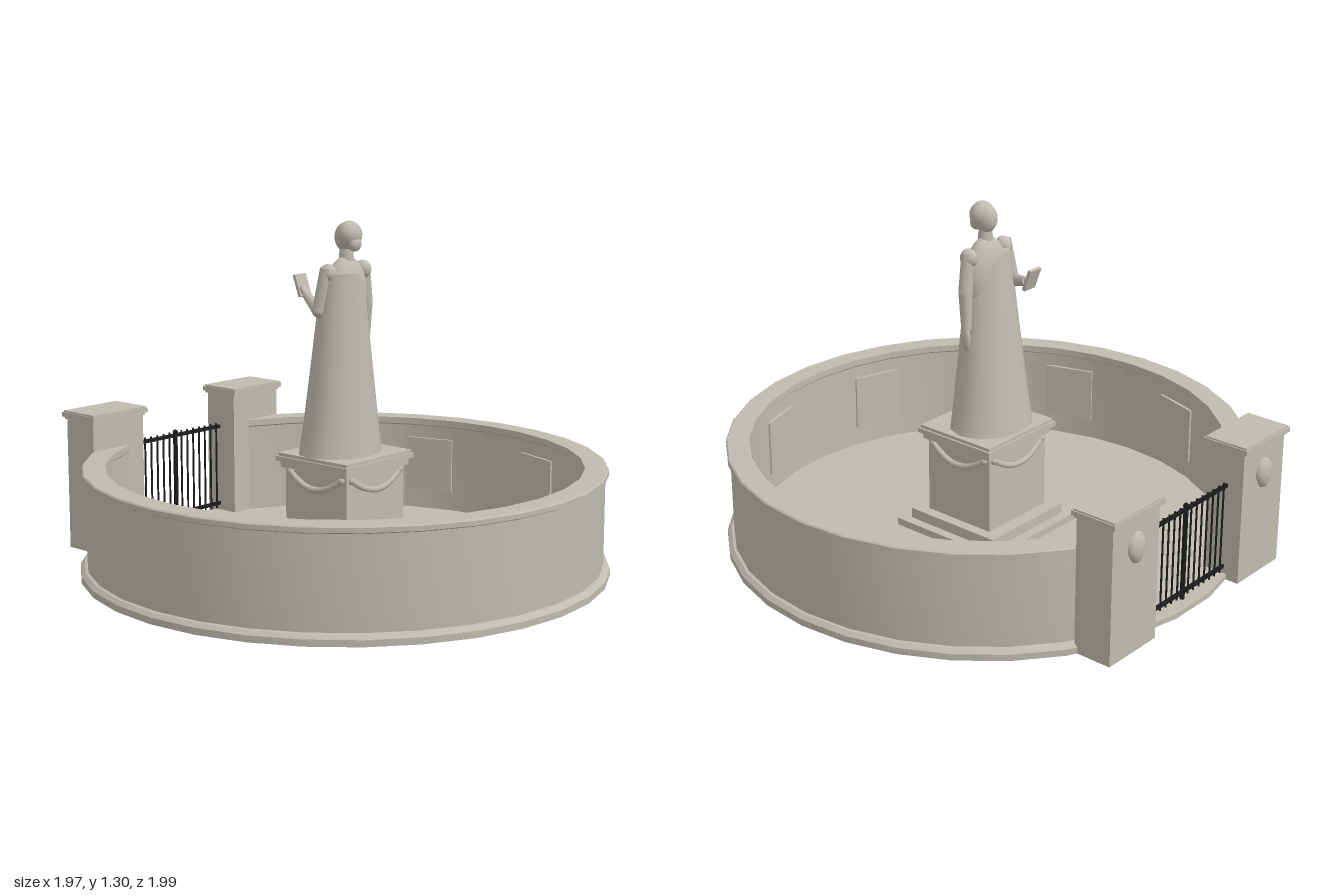
import * as THREE from 'three';
import { toCreasedNormals } from 'three/addons/utils/BufferGeometryUtils.js';

const stone = new THREE.MeshStandardMaterial({ color: 0xbfbbb0 });
stone.name = 'stone';
const iron = new THREE.MeshStandardMaterial({ color: 0x1c1c1c });
iron.name = 'blackIron';

const rad = THREE.MathUtils.degToRad;
const V = (x, y, z) => new THREE.Vector3(x, y, z);

function add(parent, name, geometry, material = stone, x = 0, y = 0, z = 0) {
  const mesh = new THREE.Mesh(geometry, material);
  mesh.name = name;
  mesh.position.set(x, y, z);
  parent.add(mesh);
  return mesh;
}

// Box given by its bottom and top heights
function slab(parent, name, w, d, y0, y1, x = 0, z = 0, material = stone) {
  return add(parent, name, new THREE.BoxGeometry(w, y1 - y0, d), material, x, (y0 + y1) / 2, z);
}

// Tapered limb between two points
function limb(parent, name, a, b, ra, rb, sides = 8) {
  const dir = b.clone().sub(a);
  const mid = a.clone().add(b).multiplyScalar(0.5);
  const mesh = add(parent, name, new THREE.CylinderGeometry(rb, ra, dir.length(), sides), stone, mid.x, mid.y, mid.z);
  mesh.quaternion.setFromUnitVectors(V(0, 1, 0), dir.normalize());
  return mesh;
}

function ellipsoid(parent, name, rx, ry, rz, x, y, z) {
  const g = new THREE.SphereGeometry(1, 14, 10).scale(rx, ry, rz);
  return add(parent, name, g, stone, x, y, z);
}

// Round wall, open at the back for the gate
function buildWall(root) {
  const wall = new THREE.Group();
  wall.name = 'wall';
  root.add(wall);
  const profile = [
    [0.875, 0], [0.985, 0], [0.985, 0.024], [0.97, 0.038], [0.96, 0.04], [0.96, 0.372],
    [0.973, 0.378], [0.973, 0.395], [0.968, 0.4], [0.885, 0.4], [0.885, 0.375], [0.89, 0.37], [0.89, 0],
  ].map(([r, y]) => new THREE.Vector2(r, y));
  const ring = new THREE.LatheGeometry(profile, 28, rad(-158), rad(316));
  add(wall, 'roundWall', toCreasedNormals(ring, rad(30)));
  const floor = add(wall, 'floor', new THREE.CylinderGeometry(0.965, 0.965, 0.02, 30), stone, 0, 0.012, 0);
  floor.rotation.y = rad(6);

  // Shallow panels on the inner face
  for (const side of [-1, 1]) {
    for (const angle of [18, 72, 108]) {
      const a = rad(angle) * side;
      const panel = slab(wall, 'wallPanel', 0.2, 0.012, 0.1, 0.32, Math.sin(a) * 0.88, Math.cos(a) * 0.88);
      panel.rotation.y = a;
    }
  }
}

// Gate pillar with cap and pointed medallion
function buildPillar(root, side) {
  const pillar = new THREE.Group();
  pillar.name = 'gatePillar';
  pillar.position.set(side * 0.378, 0, -0.898);
  root.add(pillar);
  slab(pillar, 'pillarShaft', 0.255, 0.15, 0, 0.512);
  slab(pillar, 'pillarCapLower', 0.265, 0.165, 0.508, 0.52);
  slab(pillar, 'pillarCap', 0.278, 0.182, 0.517, 0.535);
  slab(pillar, 'pillarCapTop', 0.268, 0.172, 0.535, 0.541);
  const shield = new THREE.SphereGeometry(1, 10, 6).scale(0.046, 0.06, 0.027);
  const p = shield.attributes.position;
  for (let i = 0; i < p.count; i++) {
    if (p.getY(i) < 0) p.setX(i, p.getX(i) * (1 + p.getY(i) * 6));
  }
  shield.computeVertexNormals();
  add(pillar, 'medallion', shield, stone, 0, 0.4, -0.075);
}

// Two leaves of iron bars meeting at a centre post
function buildGate(root) {
  const gate = new THREE.Group();
  gate.name = 'gate';
  gate.position.z = -0.907;
  root.add(gate);
  for (const side of [-1, 1]) {
    for (const y of [0.05, 0.375]) {
      slab(gate, 'gateRail', 0.25, 0.01, y - 0.007, y + 0.007, side * 0.125, 0, iron);
    }
    for (let i = 1; i <= 7; i++) {
      add(gate, 'gateBar', new THREE.CylinderGeometry(0.004, 0.004, 0.36, 6), iron, side * i * 0.033, 0.21, 0);
    }
  }
  add(gate, 'gatePost', new THREE.CylinderGeometry(0.009, 0.009, 0.375, 8), iron, 0, 0.205, 0);
  add(gate, 'postKnob', new THREE.SphereGeometry(0.011, 8, 6), iron, 0, 0.388, 0);
}

// Stepped pedestal with a hanging garland on each face
function buildPedestal(root) {
  const pedestal = new THREE.Group();
  pedestal.name = 'pedestal';
  root.add(pedestal);
  slab(pedestal, 'lowerStep', 0.48, 0.48, 0.01, 0.05);
  slab(pedestal, 'upperStep', 0.405, 0.405, 0.05, 0.09);
  slab(pedestal, 'pedestalBlock', 0.32, 0.3, 0.09, 0.395);
  slab(pedestal, 'pedestalNeck', 0.35, 0.325, 0.385, 0.412);
  slab(pedestal, 'pedestalCap', 0.38, 0.35, 0.41, 0.428);
  slab(pedestal, 'pedestalTop', 0.365, 0.335, 0.428, 0.44);
  for (let i = 0; i < 4; i++) {
    const w = i % 2 ? 0.125 : 0.135;
    const curve = new THREE.QuadraticBezierCurve3(V(-w, 0.372, 0), V(0, 0.27, 0.02), V(w, 0.372, 0));
    const holder = new THREE.Group();
    holder.name = 'garland';
    holder.rotation.y = i * Math.PI / 2;
    pedestal.add(holder);
    const face = i % 2 ? 0.16 : 0.15;
    add(holder, 'garlandSwag', new THREE.TubeGeometry(curve, 12, 0.012, 6), stone, 0, 0, face);
    for (const s of [-1, 1]) add(holder, 'garlandKnot', new THREE.SphereGeometry(0.015, 8, 6), stone, s * w, 0.372, face);
  }
}

// Robed figure looking towards the gate, holding a book
function buildStatue(root) {
  const statue = new THREE.Group();
  statue.name = 'statue';
  root.add(statue);

  // Robe narrows upwards; its top edge slants off one shoulder
  const robe = new THREE.CylinderGeometry(1, 1, 1, 12, 6);
  const p = robe.attributes.position;
  const lerp = THREE.MathUtils.lerp;
  for (let i = 0; i < p.count; i++) {
    const t = p.getY(i) + 0.5;
    const x = lerp(-0.01, -0.014, t) + p.getX(i) * lerp(0.175, 0.097, Math.pow(t, 0.9));
    const z = lerp(-0.008, 0.012, t) + p.getZ(i) * lerp(0.143, 0.068, Math.pow(t, 0.9));
    const top = 1.11 - Math.max(0, x) * 1.3 * t;
    p.setXYZ(i, x, lerp(0.438, top, t), z);
  }
  add(statue, 'robe', toCreasedNormals(robe, rad(50)));

  // Torso, neck and head
  ellipsoid(statue, 'torso', 0.1, 0.15, 0.06, 0, 1.02, 0.01);
  limb(statue, 'neck', V(0, 1.13, 0.012), V(0, 1.215, 0.012), 0.03, 0.023, 10);
  ellipsoid(statue, 'head', 0.04, 0.054, 0.044, 0, 1.236, 0.01);
  ellipsoid(statue, 'hair', 0.048, 0.05, 0.046, 0, 1.246, 0.027);
  ellipsoid(statue, 'hairBun', 0.03, 0.03, 0.022, 0, 1.215, 0.052);
  const nose = add(statue, 'nose', new THREE.ConeGeometry(0.007, 0.022, 5), stone, 0, 1.236, -0.035);
  nose.rotation.x = rad(-15);

  // Lowered arm
  ellipsoid(statue, 'shoulder', 0.03, 0.035, 0.034, 0.095, 1.11, 0.008);
  limb(statue, 'loweredUpperArm', V(0.1, 1.13, 0.008), V(0.118, 0.99, 0.004), 0.024, 0.027);
  limb(statue, 'loweredForearm', V(0.118, 0.99, 0.004), V(0.128, 0.85, -0.008), 0.027, 0.019);
  ellipsoid(statue, 'loweredHand', 0.011, 0.045, 0.019, 0.131, 0.812, -0.01);

  // Raised arm with book
  ellipsoid(statue, 'shoulder', 0.03, 0.035, 0.034, -0.095, 1.11, 0.008);
  limb(statue, 'raisedUpperArm', V(-0.105, 1.13, 0.008), V(-0.12, 0.975, -0.015), 0.024, 0.026);
  ellipsoid(statue, 'elbow', 0.026, 0.026, 0.026, -0.12, 0.975, -0.015);
  limb(statue, 'raisedForearm', V(-0.12, 0.975, -0.015), V(-0.055, 1.015, -0.135), 0.026, 0.016);
  const hand = ellipsoid(statue, 'raisedHand', 0.016, 0.014, 0.032, -0.04, 1.03, -0.16);
  hand.rotation.set(rad(30), rad(-25), 0);
  const book = add(statue, 'book', new THREE.BoxGeometry(0.06, 0.085, 0.012), stone, -0.022, 1.045, -0.187);
  book.rotation.x = rad(-20);
}

export function createModel() {
  const model = new THREE.Group();
  model.name = 'walledMonument';
  const court = new THREE.Group();
  court.name = 'court';
  court.position.z = 0.005;
  model.add(court);
  buildWall(court);
  buildPedestal(court);
  buildStatue(model);
  for (const side of [-1, 1]) buildPillar(model, side);
  buildGate(model);
  return model;
}
